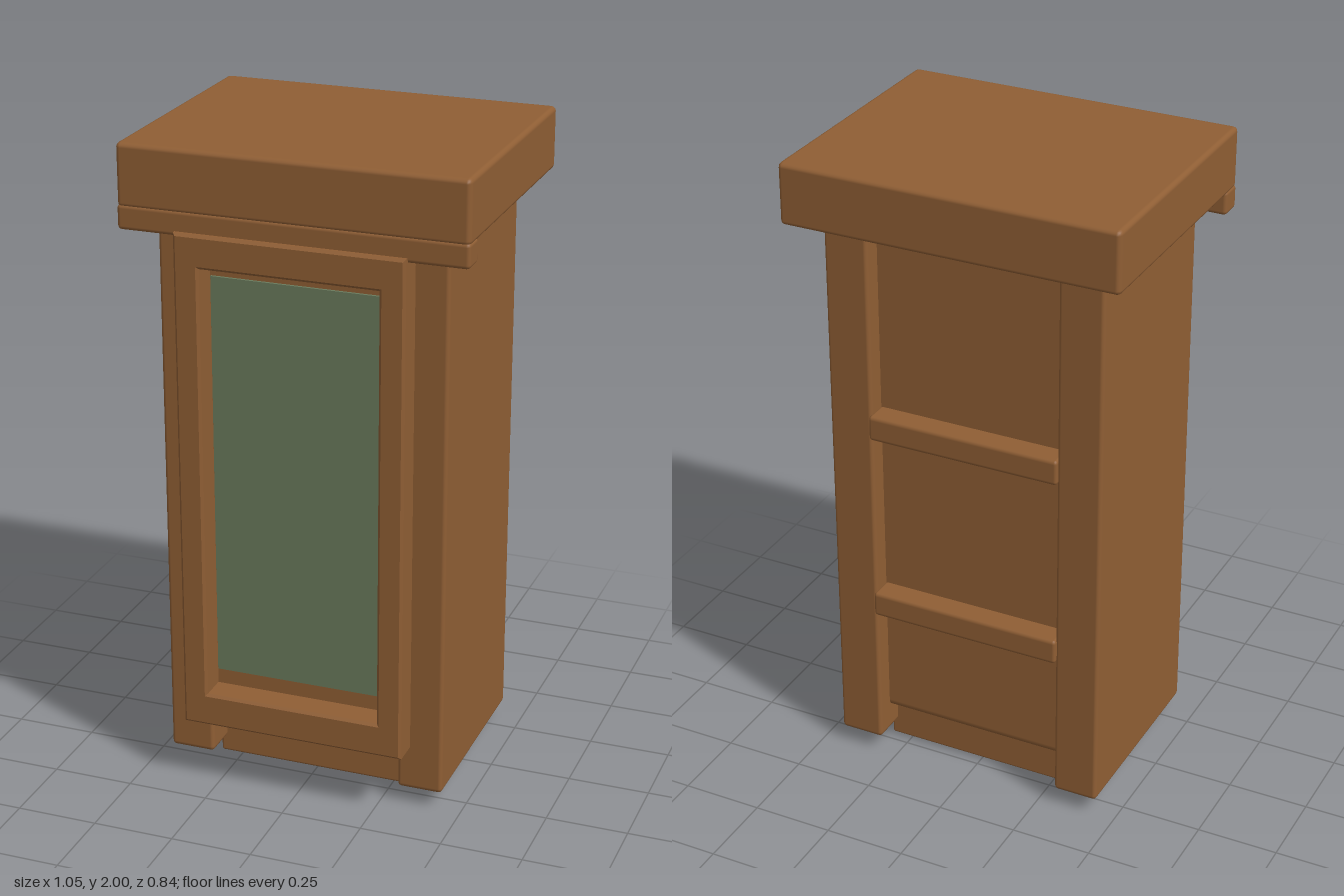
import * as THREE from 'three';
import { RoundedBoxGeometry } from 'three/addons/geometries/RoundedBoxGeometry.js';

export function createModel() {
  const group = new THREE.Group();
  const wood = new THREE.MeshStandardMaterial({ color: 0x8f5e34 });
  wood.name = 'brown wood';
  const glass = new THREE.MeshStandardMaterial({ color: 0x6a7a5c });
  glass.name = 'green glass';

  const add = (name, geometry, material = wood) => {
    const mesh = new THREE.Mesh(geometry, material);
    mesh.name = name;
    group.add(mesh);
    return mesh;
  };

  // Box between two limits per axis, edges softened by a bevel per axis
  const box = (name, [x0, x1], [y0, y1], [z0, z1], [bx, by, bz]) => {
    const g = new RoundedBoxGeometry((x1 - x0) / bx, (y1 - y0) / by, (z1 - z0) / bz, 2, 1);
    g.scale(bx, by, bz);
    g.translate((x0 + x1) / 2, (y0 + y1) / 2, (z0 + z1) / 2);
    return add(name, g);
  };

  // Top slab and the moulding under its front edge
  box('topSlab', [-0.525, 0.525], [1.81, 2], [-0.42, 0.405], [0.015, 0.015, 0.02]);
  box('frontMoulding', [-0.525, 0.525], [1.745, 1.82], [0.33, 0.405], [0.012, 0.012, 0.012]);

  // Thick side walls
  for (const [name, s] of [['leftSide', 1], ['rightSide', -1]]) {
    const x = s > 0 ? [0.3, 0.44] : [-0.44, -0.3];
    box(name, x, [0.055, 1.83], [-0.325, 0.315], [0.012, 0.015, 0.015]);
  }

  // Inner cabinet body, recessed front and back, and plinth
  box('cabinetBody', [-0.32, 0.32], [0.14, 1.84], [-0.265, 0.28], [0.015, 0.025, 0.02]);
  box('plinth', [-0.32, 0.32], [0.003, 0.16], [-0.215, 0.205], [0.008, 0.008, 0.008]);

  // Horizontal battens across the back
  for (const y of [0.56, 1.17]) {
    box('backBatten', [-0.305, 0.305], [y - 0.04, y + 0.04], [-0.337, -0.25], [0.01, 0.012, 0.01]);
  }

  // Door frame with a rectangular opening
  const rect = (Type, x, y0, y1) => {
    const p = new Type();
    p.moveTo(-x, y0);
    p.lineTo(x, y0);
    p.lineTo(x, y1);
    p.lineTo(-x, y1);
    p.closePath();
    return p;
  };
  const b = 0.008;
  const frame = rect(THREE.Shape, 0.347 - b, 0.21 + b, 1.76 - b);
  frame.holes.push(rect(THREE.Path, 0.27 + b, 0.315 - b, 1.66 + b));
  const frameGeometry = new THREE.ExtrudeGeometry(frame, {
    depth: 0.095 - 2 * b, bevelEnabled: true, bevelSize: b, bevelThickness: b, bevelSegments: 1,
  });
  frameGeometry.translate(0, 0, 0.328 + b);
  add('doorFrame', frameGeometry);

  // Glass pane behind the opening
  const pane = new THREE.BoxGeometry(0.545, 1.255, 0.008);
  pane.translate(0, 0.985, 0.326);
  add('glassPane', pane, glass);

  return group;
}
